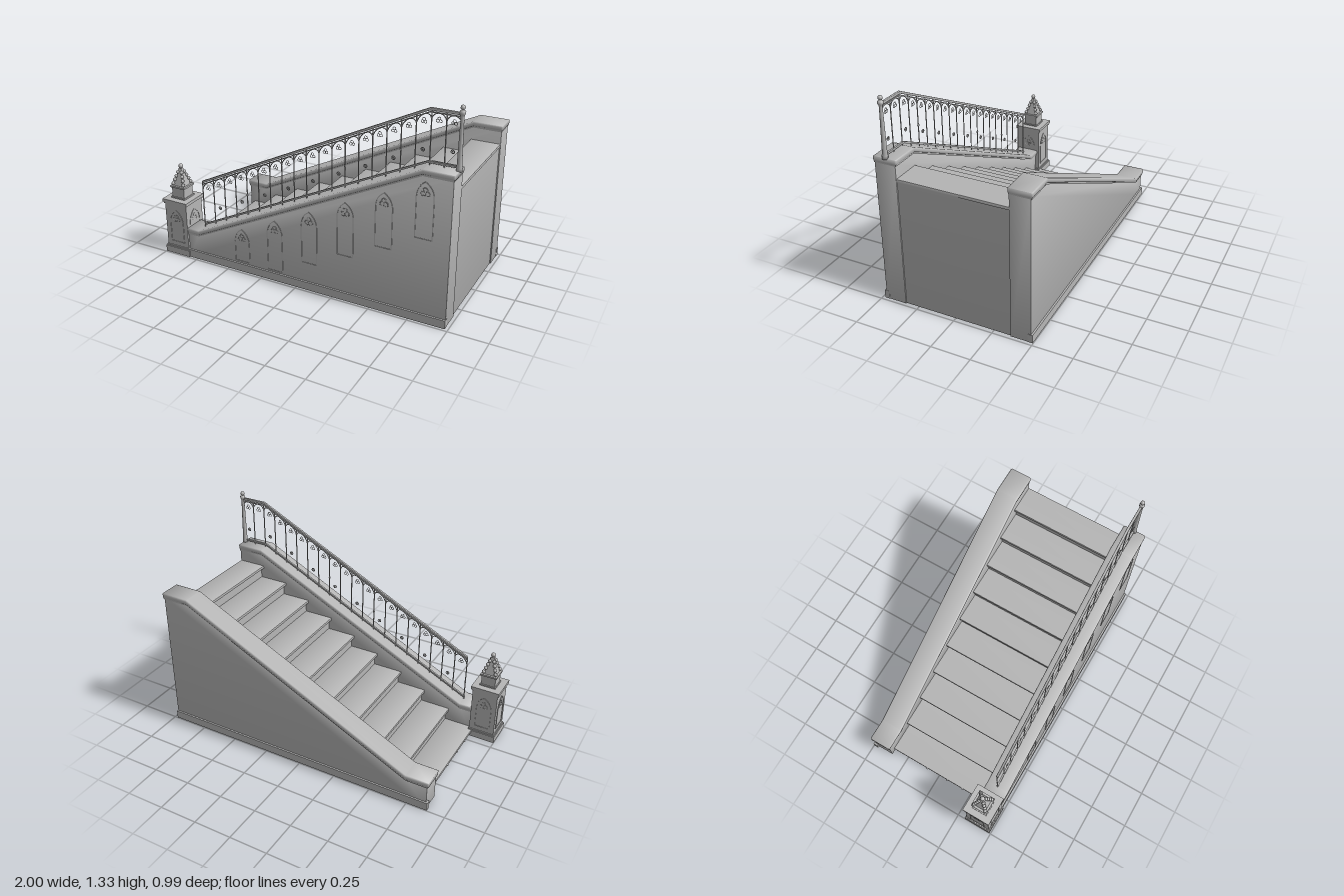
import * as THREE from 'three';

const stone = new THREE.MeshStandardMaterial({ color: 0xb6b6b6 });
stone.name = 'grey stone';

const X_LOW = -0.735, X_HIGH = 0.8, X_END = 0.985;
// height of the wall coping's top at x: flat, sloping, flat
const copingY = (x) => 0.205 + (0.755 * (Math.min(Math.max(x, X_LOW), X_HIGH) - X_LOW)) / (X_HIGH - X_LOW);

function add(parent, name, geometry, x = 0, y = 0, z = 0) {
  const mesh = new THREE.Mesh(geometry, stone);
  mesh.name = name;
  mesh.position.set(x, y, z);
  parent.add(mesh);
  return mesh;
}

function box(parent, name, x0, x1, y0, y1, z0, z1) {
  return add(parent, name, new THREE.BoxGeometry(x1 - x0, y1 - y0, z1 - z0),
    (x0 + x1) / 2, (y0 + y1) / 2, (z0 + z1) / 2);
}

// gently smooth normals: lean each face corner towards the other faces meeting there
function soften(geometry, amount) {
  geometry.computeVertexNormals();
  const { position, normal } = geometry.attributes;
  const corners = new Map();
  const key = (v, scale) => v.toArray().map((n) => Math.round(n * scale)).join();
  const p = new THREE.Vector3(), n = new THREE.Vector3();
  for (let i = 0; i < position.count; i++) {
    const id = key(p.fromBufferAttribute(position, i), 10000);
    if (!corners.has(id)) corners.set(id, new Map());
    n.fromBufferAttribute(normal, i);
    corners.get(id).set(key(n, 50), n.clone());
  }
  for (let i = 0; i < position.count; i++) {
    n.fromBufferAttribute(normal, i).multiplyScalar(1 - amount);
    const faces = corners.get(key(p.fromBufferAttribute(position, i), 10000));
    for (const face of faces.values()) n.addScaledVector(face, amount);
    n.normalize();
    normal.setXYZ(i, n.x, n.y, n.z);
  }
  return geometry;
}

// side profile extruded from z0 to z1, with optional bevelled edges
function slab(parent, name, points, z0, z1, bevel, smoothness) {
  const shape = new THREE.Shape(points.map(([x, y]) => new THREE.Vector2(x, y)));
  const geometry = new THREE.ExtrudeGeometry(shape, {
    depth: z1 - z0 - 2 * bevel, bevelEnabled: bevel > 0, bevelSize: bevel,
    bevelThickness: bevel, bevelOffset: -bevel, bevelSegments: 2,
  });
  return add(parent, name, soften(geometry, smoothness), 0, 0, z0 + bevel);
}

// strip following the coping line, between two offsets above it
function slopedStrip(parent, name, xStart, xEnd, low, high, z0, z1, bevel) {
  const xs = [xStart, X_LOW, X_HIGH, xEnd].filter((x, i) => i !== 1 || x > xStart);
  const bottom = xs.map((x) => [x, copingY(x) + low]);
  const top = xs.map((x) => [x, copingY(x) + high]).reverse();
  return slab(parent, name, [...bottom, ...top], z0, z1, bevel, bevel > 0 ? 0.5 : 0);
}

// open sheet swept along z under a path
function ribbon(path, z0, z1, smoothness) {
  const corners = [];
  for (let i = 0; i + 1 < path.length; i++) {
    const [a, b] = [path[i], path[i + 1]];
    corners.push(...a, z0, ...b, z0, ...b, z1, ...a, z0, ...b, z1, ...a, z1);
  }
  const geometry = new THREE.BufferGeometry();
  geometry.setAttribute('position', new THREE.Float32BufferAttribute(corners, 3));
  return soften(geometry, smoothness);
}

// pointed arch outline standing on y = base
function gothicPoints(w, h, base) {
  const spring = h - (w * Math.sqrt(3)) / 2;
  const points = [new THREE.Vector2(-w / 2, base), new THREE.Vector2(w / 2, base)];
  for (let i = 0; i <= 12; i++) {
    const s = i <= 6 ? 1 : -1;
    const a = ((i <= 6 ? i : 12 - i) / 6) * (Math.PI / 3);
    points.push(new THREE.Vector2(s * (w * Math.cos(a) - w / 2), spring + w * Math.sin(a)));
  }
  return points;
}

function trefoil(parent, x, y, z, r, flatness = 1) {
  const ring = new THREE.TorusGeometry(r, r * 0.2, 5, 12);
  for (let i = 0; i < 3; i++) {
    const a = Math.PI / 2 + (i * Math.PI * 2) / 3;
    add(parent, 'trefoilRing', ring, x + Math.cos(a) * r * 1.1, y + Math.sin(a) * r * 1.1, z).scale.z = flatness;
  }
}

// blind lancet window: raised frame with a trefoil in its head
function lancet(w, h) {
  const group = new THREE.Group();
  group.name = 'lancetWindow';
  const shape = new THREE.Shape(gothicPoints(w, h, 0));
  shape.holes.push(new THREE.Path(gothicPoints(w - 0.01, h - 0.008, 0.005).reverse()));
  add(group, 'windowFrame', new THREE.ExtrudeGeometry(shape, { depth: 0.003, bevelEnabled: false }));
  trefoil(group, 0, h - w * 0.6, 0, w * 0.12, 0.6);
  return group;
}

function sideWall(name, xStart, z0, z1, capZ0, capZ1, outward) {
  const wall = new THREE.Group();
  wall.name = name;
  const x0 = xStart + 0.012, x1 = X_END - 0.006, drop = 0.025;
  slab(wall, 'wallBody', [[x0, 0], [x1, 0], [x1, copingY(1) - drop], [X_HIGH, copingY(1) - drop],
    [X_LOW, copingY(-1) - drop], [x0, copingY(-1) - drop]], z0, z1, 0, 0.22);
  slopedStrip(wall, 'coping', xStart, X_END, -0.03, 0, capZ0, capZ1, 0.008);
  slopedStrip(wall, 'copingMoulding', xStart + 0.006, X_END - 0.004, -0.04, -0.025, capZ0 + 0.006, capZ1 - 0.004, 0);
  // plinth along the outer foot
  const zOut = outward > 0 ? z1 : z0;
  box(wall, 'wallPlinth', xStart, X_END - 0.004, 0, 0.054,
    outward > 0 ? zOut - 0.02 : zOut - 0.011, outward > 0 ? zOut + 0.012 : zOut + 0.02);
  return wall;
}

function stairs() {
  const group = new THREE.Group();
  group.name = 'stairs';
  const count = 10, run = 0.181, rise = 0.0883, start = -0.84, first = 0.045;
  const z0 = -0.36, z1 = 0.342;
  const steps = [];
  for (let i = count - 1; i >= 0; i--) {
    const x = start + i * run + 0.02, y = first + i * rise - 0.008;
    steps.push([x, y], [x, i > 0 ? y - rise : 0]);
  }
  add(group, 'risers', ribbon(steps, z0, z1, 0));
  const back = X_END - 0.013;
  add(group, 'backAndUnderside', ribbon([[start + 0.02, 0], [back, 0], [back, 0.828]], z0, z1, 0.25));
  for (let i = 0; i < count; i++) {
    const x = start + i * run, y = first + i * rise;
    const end = i === count - 1 ? X_END - 0.008 : x + run + 0.02;
    add(group, 'tread', ribbon([[end, y - 0.018], [end, y], [x, y], [x, y - 0.018], [x + 0.02, y - 0.018]], z0, z1, 0.3));
  }
  // little bosses on the lowest nosing
  for (const z of [-0.09, 0.065, 0.185]) {
    add(group, 'nosingBoss', new THREE.SphereGeometry(0.008, 8, 6), start, 0.036, z);
  }
  return group;
}

function railing() {
  const group = new THREE.Group();
  group.name = 'railing';
  const z = 0.4, bays = 20, step = 0.0857, bar = 0.0035;
  slopedStrip(group, 'bottomRail', X_LOW, X_END, 0.012, 0.024, z - 0.006, z + 0.006, 0);
  slopedStrip(group, 'handrail', X_LOW, X_END, 0.314, 0.33, z - 0.008, z + 0.008, 0.003);
  slopedStrip(group, 'underRail', X_LOW, X_END, 0.302, 0.308, z - 0.004, z + 0.004, 0);
  const knob = new THREE.SphereGeometry(0.008, 8, 6);
  for (let i = 0; i <= bays; i++) {
    const x = X_LOW + i * step;
    const y0 = copingY(x) - 0.005, y1 = copingY(x) + 0.318;
    add(group, 'baluster', new THREE.CylinderGeometry(bar, bar, y1 - y0, 6), x, (y0 + y1) / 2, z);
    if (i % 4 === 0) add(group, 'balusterKnob', knob, x, copingY(x) + 0.135, z).scale.set(0.8, 1.3, 0.8);
    if (i === bays) break;

    // round arch that leans with the slope
    const cx = x + step / 2, points = [];
    for (let k = 0; k <= 10; k++) {
      const a = Math.PI - (k / 10) * Math.PI;
      const px = cx + (Math.cos(a) * step) / 2;
      points.push(new THREE.Vector3(px, copingY(px) + 0.258 + Math.sin(a) * 0.046, z));
    }
    add(group, 'railArch', new THREE.TubeGeometry(new THREE.CatmullRomCurve3(points), 14, 0.003, 5));
    trefoil(group, cx, copingY(cx) + 0.265, z, 0.0085);

    // rosette in every other bay
    if (i % 2 === 1) {
      const y = copingY(cx) + 0.1;
      add(group, 'rosetteRing', new THREE.TorusGeometry(0.01, 0.003, 6, 12), cx, y, z);
      add(group, 'rosetteHeart', knob, cx, y, z).scale.setScalar(0.6);
    }
  }
  // turned end post with ball finial
  const post = [[0, 0], [0.018, 0], [0.018, 0.02], [0.015, 0.04], [0.01, 0.31], [0.012, 0.32],
    [0.017, 0.33], [0.017, 0.342], [0.007, 0.35], [0, 0.35]];
  add(group, 'endPost', new THREE.LatheGeometry(post.map(([r, y]) => new THREE.Vector2(r, y)), 12), 0.978, 0.955, z);
  add(group, 'endPostBall', new THREE.SphereGeometry(0.014, 12, 8), 0.978, 1.318, z);
  return group;
}

function newel() {
  const group = new THREE.Group();
  group.name = 'newelPillar';
  group.position.set(-0.905, 0, 0.397);
  const block = (name, half, y0, y1) => box(group, name, -half, half, y0, y1, -half, half);
  block('pillarPlinth', 0.095, 0, 0.045);
  block('pillarPlinthStep', 0.09, 0.045, 0.056);
  block('pillarShaft', 0.084, 0.05, 0.37);
  block('pillarCapMoulding', 0.089, 0.355, 0.367);
  block('pillarCap', 0.095, 0.367, 0.388);
  block('finialFoot', 0.053, 0.385, 0.397);
  block('finialBlock', 0.047, 0.39, 0.47);
  block('finialLip', 0.055, 0.463, 0.475);
  for (let i = 0; i < 4; i++) {
    const side = new THREE.Group();
    side.name = 'pillarSide';
    side.rotation.y = (i * Math.PI) / 2;
    const panel = lancet(0.105, 0.235);
    panel.position.set(0, 0.085, 0.084);
    side.add(panel);
    group.add(side);
  }
  // spire with crockets climbing its four corners
  const spire = new THREE.CylinderGeometry(0.014, 0.058, 0.115, 4).toNonIndexed();
  spire.computeVertexNormals();
  add(group, 'spire', spire, 0, 0.5325, 0).rotation.y = Math.PI / 4;
  const crocket = new THREE.SphereGeometry(0.012, 8, 6);
  for (let level = 0; level < 4; level++) {
    const y = 0.488 + level * 0.025, d = 0.04 - level * 0.0085;
    for (const sx of [-1, 1]) for (const sz of [-1, 1]) add(group, 'crocket', crocket, sx * d, y, sz * d);
  }
  add(group, 'spireCollar', new THREE.CylinderGeometry(0.012, 0.008, 0.012, 10), 0, 0.586, 0);
  add(group, 'spireBall', new THREE.SphereGeometry(0.015, 12, 8), 0, 0.605, 0);
  return group;
}

export function createModel() {
  const model = new THREE.Group();
  model.name = 'staircase';
  const front = sideWall('frontWall', -0.83, 0.338, 0.472, 0.327, 0.48, 1);
  const back = sideWall('backWall', -0.885, -0.486, -0.358, -0.498, -0.35, -1);

  // row of blind windows rising with the slope
  for (let i = 0; i < 6; i++) {
    const h = i === 0 ? 0.235 : 0.355;
    const win = lancet(0.11, h);
    win.position.set(-0.4 + 0.244 * i, 0.3 + 0.118 * i - h, 0.472);
    front.add(win);
  }
  model.add(front, back, stairs(), railing(), newel());
  return model;
}
